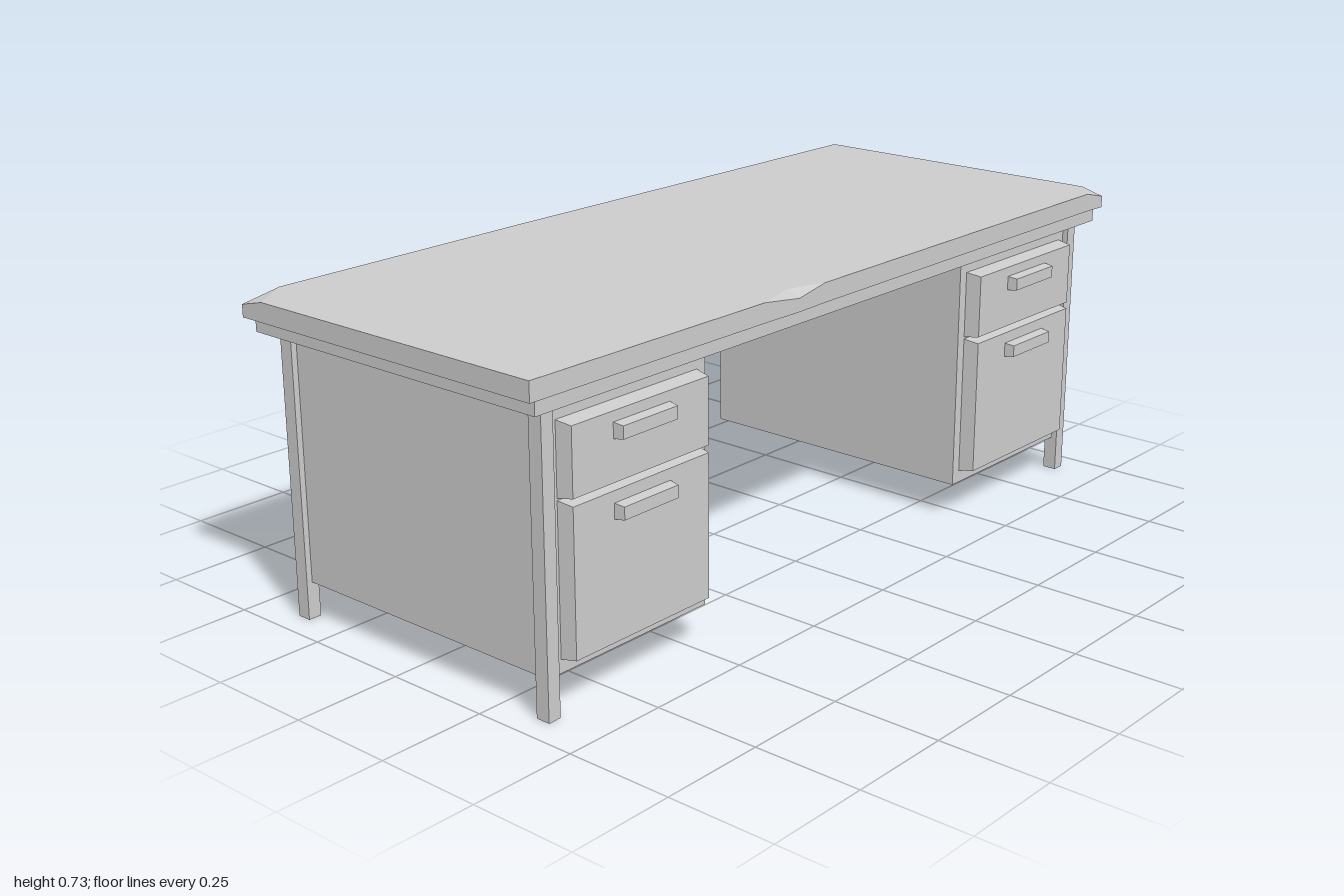
import * as THREE from 'three';

const material = new THREE.MeshStandardMaterial({ color: 0xcccccc, flatShading: true });

function add(parent, name, geometry) {
  const mesh = new THREE.Mesh(geometry, material);
  mesh.name = name;
  parent.add(mesh);
  return mesh;
}

// Box given by its limits on each axis
function block(x0, x1, y0, y1, z0, z1) {
  return new THREE.BoxGeometry(x1 - x0, y1 - y0, z1 - z0)
    .translate((x0 + x1) / 2, (y0 + y1) / 2, (z0 + z1) / 2);
}

// Box whose front face is inset on all four sides
function taperedBlock(x0, x1, y0, y1, z0, z1, inset) {
  const g = block(x0, x1, y0, y1, z0, z1);
  const p = g.attributes.position;
  for (let i = 0; i < p.count; i++) {
    if (p.getZ(i) < (z0 + z1) / 2) continue;
    p.setX(i, p.getX(i) + (p.getX(i) < (x0 + x1) / 2 ? inset : -inset));
    p.setY(i, p.getY(i) + (p.getY(i) < (y0 + y1) / 2 ? inset : -inset));
  }
  g.computeVertexNormals();
  return g;
}

// Worn slab: bottom ring, lip ring (dips at the chips) and top ring
function slab(y0, y1) {
  // x, z, and at a chip: lip height, top x, top z
  const outline = [
    [-1, 0.418], [-0.33, 0.422], [-0.22, 0.425, 0.715, -0.22, 0.392], [-0.13, 0.422],
    [0.935, 0.418], [1, 0.422, 0.713, 0.967, 0.391], [1, 0.365],
    [1, -0.422], [-0.2, -0.431], [-0.9, -0.427],
    [-1, -0.425, 0.713, -0.95, -0.393], [-1, -0.36],
  ];
  const n = outline.length;
  const rings = [
    outline.map(([x, z]) => new THREE.Vector3(x, y0, z)),
    outline.map(([x, z, lip = y1]) => new THREE.Vector3(x, lip, z)),
    outline.map(([x, z, , tx = x, tz = z]) => new THREE.Vector3(tx, y1, tz)),
  ];
  const positions = [];
  const triangle = (a, b, c) => {
    if (new THREE.Triangle(a, b, c).getArea() < 1e-7) return;
    for (const v of [a, b, c]) positions.push(v.x, v.y, v.z);
  };
  for (let r = 0; r < 2; r++) {
    for (let i = 0; i < n; i++) {
      const j = (i + 1) % n;
      triangle(rings[r][i], rings[r][j], rings[r + 1][j]);
      triangle(rings[r][i], rings[r + 1][j], rings[r + 1][i]);
    }
  }
  const cap = (ring, flip) => {
    const flat = ring.map((v) => new THREE.Vector2(v.x, -v.z));
    for (const [a, b, c] of THREE.ShapeUtils.triangulateShape(flat, [])) {
      triangle(ring[a], ring[flip ? c : b], ring[flip ? b : c]);
    }
  };
  cap(rings[0], true);
  cap(rings[2], false);
  const g = new THREE.BufferGeometry();
  g.setAttribute('position', new THREE.Float32BufferAttribute(positions, 3));
  g.computeVertexNormals();
  return g;
}

// Hollow rim under the top
function rim(halfX, halfZ, width, y0, y1) {
  const rect = (path, x, z) =>
    path.moveTo(-x, -z).lineTo(x, -z).lineTo(x, z).lineTo(-x, z).closePath();
  const shape = rect(new THREE.Shape(), halfX, halfZ);
  shape.holes.push(rect(new THREE.Path(), halfX - width, halfZ - width));
  return new THREE.ExtrudeGeometry(shape, { depth: y1 - y0, bevelEnabled: false })
    .rotateX(-Math.PI / 2).translate(0, y0, 0);
}

export function createModel() {
  const desk = new THREE.Group();
  desk.name = 'desk';

  add(desk, 'deskTop', slab(0.685, 0.729));
  add(desk, 'topRim', rim(0.98, 0.41, 0.06, 0.652, 0.686));

  for (const [side, s] of [['left', 1], ['right', -1]]) {
    const group = new THREE.Group();
    group.name = side + 'Pedestal';
    desk.add(group);
    const span = (a, b) => (s > 0 ? [a, b] : [-b, -a]);

    add(group, 'cabinet', block(...span(0.458, 0.926), 0.085, 0.686, -0.37, 0.37));

    // Legs at the outer corners
    add(group, 'frontLeg', block(...span(0.908, 0.94), 0, 0.686, 0.35, 0.384));
    add(group, 'backLeg', block(...span(0.908, 0.94), 0, 0.686, -0.384, -0.35));

    // Drawer fronts with bar handles
    for (const [name, y0, y1, handleY] of [
      ['upper', 0.454, 0.614, 0.568],
      ['lower', 0.115, 0.45, 0.401],
    ]) {
      add(group, name + 'Drawer',
        taperedBlock(...span(0.483, 0.889), y0, y1, 0.368, 0.407, 0.006));
      add(group, name + 'Handle',
        taperedBlock(...span(0.605, 0.77), handleY - 0.018, handleY + 0.018, 0.4, 0.431, 0.004));
    }
  }
  return desk;
}
